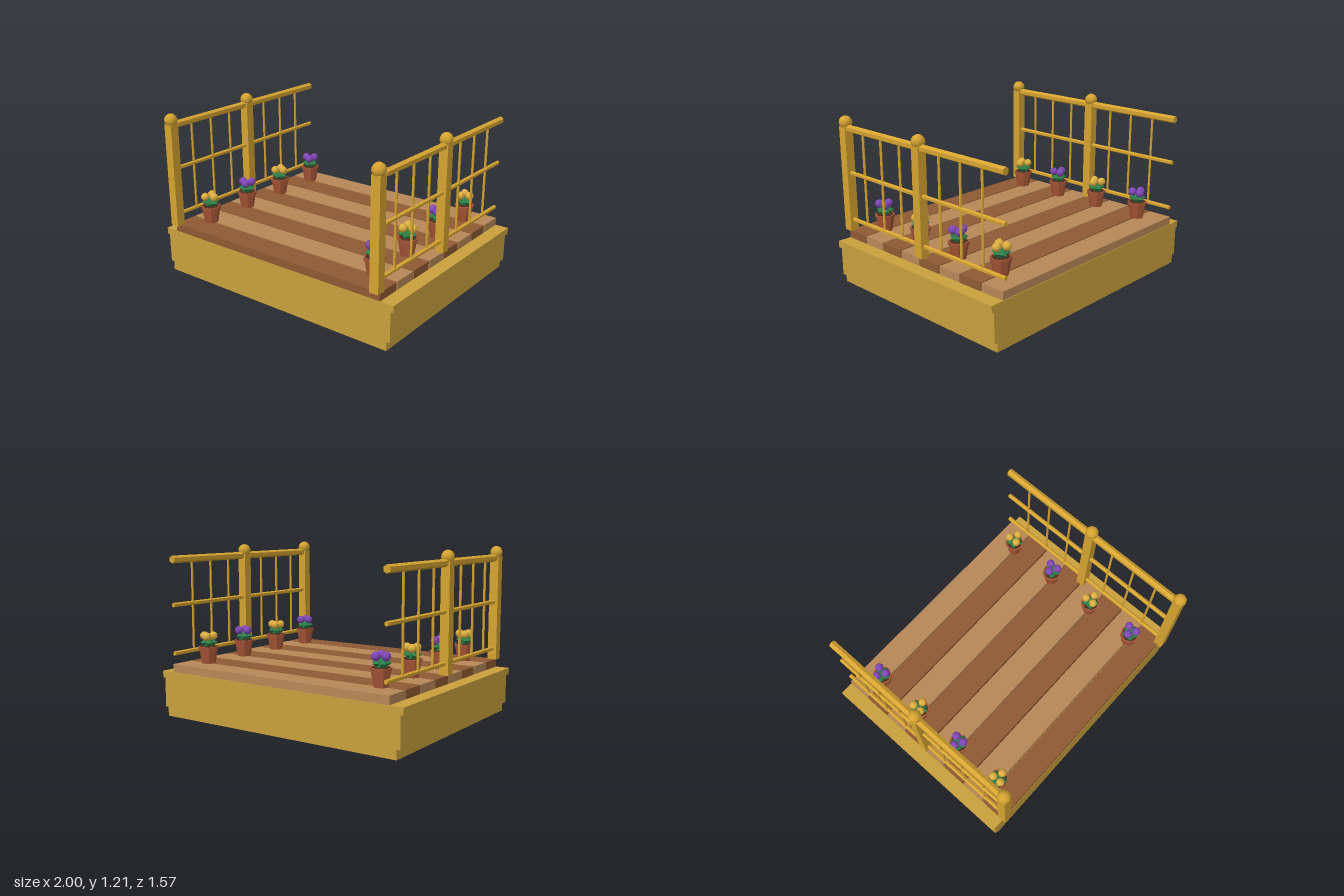
import * as THREE from 'three';

const mat = (color, flatShading = true) => new THREE.MeshStandardMaterial({ color, flatShading });
const M = {
  base: mat(0xc9a03d), gold: mat(0xd6a431), ball: mat(0xd6a431, false),
  dark: mat(0x8f5a33), light: mat(0xb88857), pot: mat(0xa85636), soil: mat(0x4a3020),
  leaf: mat(0x2c7f48), purple: mat(0x8248b8, false), yellow: mat(0xe0b040, false),
};

function add(parent, name, geometry, material, x = 0, y = 0, z = 0) {
  const mesh = new THREE.Mesh(geometry, material);
  mesh.name = name;
  mesh.position.set(x, y, z);
  parent.add(mesh);
  return mesh;
}

const BACK = -0.785, FRONT = 0.737, DECK = 0.383;

// Stepped base: mirrored cross-section extruded along z
function buildBase(root) {
  const half = [[0.955, 0], [0.955, 0.065], [0.98, 0.065], [0.98, 0.277], [1, 0.277], [1, 0.325]];
  const pts = [...half, ...half.map(([x, y]) => [-x, y]).reverse()];
  const shape = new THREE.Shape(pts.map(([x, y]) => new THREE.Vector2(x, y)));
  const geo = new THREE.ExtrudeGeometry(shape, { depth: FRONT - BACK, bevelEnabled: false });
  add(root, 'base', geo, M.base, 0, 0, BACK);
}

// Alternating deck boards
function buildDeck(root) {
  const deck = new THREE.Group();
  deck.name = 'deck';
  const geo = new THREE.BoxGeometry(1.8, DECK - 0.325, 0.181);
  for (let i = 0; i < 8; i++) {
    add(deck, 'plank', geo, i % 2 ? M.light : M.dark, 0, (DECK + 0.325) / 2, 0.644 - i * 0.1905);
  }
  root.add(deck);
}

// One railing: posts with ball caps, three rails, thin balusters
function buildRailing(root, side) {
  const g = new THREE.Group();
  g.name = side > 0 ? 'leftRailing' : 'rightRailing';
  g.position.x = side * 0.877;
  const post = new THREE.BoxGeometry(0.066, 0.755, 0.066);
  const ball = new THREE.SphereGeometry(0.047, 8, 8);
  for (const z of [0.738, -0.024]) {
    add(g, 'post', post, M.gold, 0, DECK + 0.3775, z);
    add(g, 'postBall', ball, M.ball, 0, 1.165, z);
  }
  const length = FRONT - BACK;
  for (const [y, r] of [[1.127, 0.027], [0.807, 0.016], [0.462, 0.016]]) {
    const rail = add(g, 'rail', new THREE.CylinderGeometry(r, r, length, 6), M.gold, 0, y, (FRONT + BACK) / 2);
    rail.rotation.x = Math.PI / 2;
  }
  const baluster = new THREE.CylinderGeometry(0.009, 0.009, 0.665, 6);
  for (const z of [0.55, 0.36, 0.17, -0.213, -0.403, -0.593]) {
    add(g, 'baluster', baluster, M.gold, 0, 0.7945, z);
  }
  root.add(g);
}

// Flower pot with leaves and three blossoms
function buildPlant(root, x, z, isYellow) {
  const g = new THREE.Group();
  g.name = 'flowerPot';
  g.position.set(x, DECK, z);
  add(g, 'pot', new THREE.CylinderGeometry(0.066, 0.048, 0.105, 8), M.pot, 0, 0.0525, 0);
  add(g, 'potRim', new THREE.CylinderGeometry(0.072, 0.069, 0.024, 8), M.pot, 0, 0.11, 0);
  add(g, 'soil', new THREE.CylinderGeometry(0.06, 0.06, 0.004, 8), M.soil, 0, 0.123, 0);
  add(g, 'foliage', new THREE.IcosahedronGeometry(0.042, 0), M.leaf, 0, 0.145, 0);
  for (let i = 0; i < 5; i++) {
    const a = i * Math.PI * 2 / 5;
    const leaf = add(g, 'leaf', new THREE.OctahedronGeometry(0.03, 0), M.leaf,
      Math.cos(a) * 0.036, 0.15, Math.sin(a) * 0.036);
    leaf.scale.set(1, 0.75, 0.9);
    leaf.rotation.y = -a;
  }
  for (let i = 0; i < 3; i++) {
    const a = i * Math.PI * 2 / 3 + (isYellow ? 0 : Math.PI);
    add(g, 'blossom', new THREE.SphereGeometry(0.031, 8, 6), isYellow ? M.yellow : M.purple,
      Math.cos(a) * 0.038, 0.195, Math.sin(a) * 0.038);
  }
  root.add(g);
}

export function createModel() {
  const root = new THREE.Group();
  root.name = 'flowerDeck';
  buildBase(root);
  buildDeck(root);
  for (const side of [-1, 1]) {
    buildRailing(root, side);
    [0.547, 0.165, -0.216, -0.598].forEach((z, i) =>
      buildPlant(root, side * 0.727, z, (i % 2 === 0) === (side < 0)));
  }
  return root;
}
